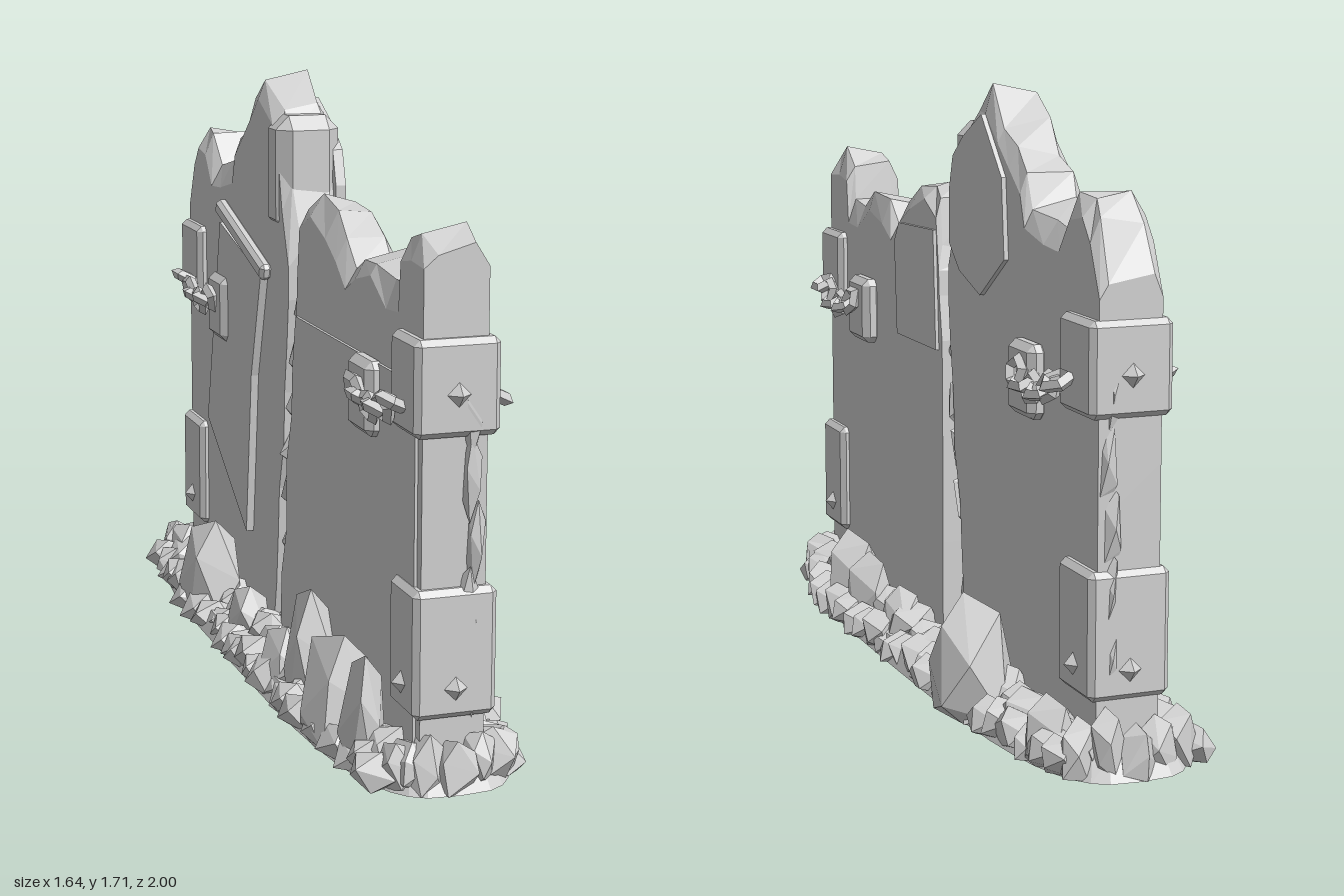
import * as THREE from 'three';
import { ConvexGeometry } from 'three/addons/geometries/ConvexGeometry.js';

const stone = new THREE.MeshStandardMaterial({ color: 0xd2d2d2, flatShading: true });
stone.name = 'grey stone';

let seed = 11;
const rnd = (a = 0, b = 1) => {
  seed = (seed * 16807) % 2147483647;
  return a + (b - a) * (seed / 2147483647);
};

// Local frame: x runs along the wall, z points out of its front face
const wall = new THREE.Group();
function add(name, geo, x = 0, y = 0, z = 0) {
  const m = new THREE.Mesh(geo, stone);
  m.name = name;
  m.position.set(x, y, z);
  wall.add(m);
  return m;
}

// Faceted rock: hull of jittered points, cut flat at the ground
function rock(name, x, y, z, rx, ry, rz, count = 12) {
  const pts = [];
  for (let i = 0; i < count; i++) {
    const h = 1 - (2 * (i + 0.5)) / count, a = i * 2.4 + rnd(-0.4, 0.4);
    const r = Math.sqrt(1 - h * h) * rnd(0.85, 1.1);
    pts.push(new THREE.Vector3(x + Math.cos(a) * r * rx, Math.max(0, y + h * ry), z + Math.sin(a) * r * rz));
  }
  return add(name, new ConvexGeometry(pts));
}

// The leaning crack that splits the wall in two
const levels = [0, 0.2, 0.35, 0.5, 0.65, 0.8, 0.95, 1.08];
const crackAt = (y) => -0.115 + 0.14 * y;

// Wall half: loft of chamfered sections under a ragged skyline
function wallHalf(name, skyline, side) {
  const jag = [...levels, 0, 0].map(() => rnd(-0.015, 0.015));
  const limit = (u, y, k) => {
    const edge = crackAt(y) + side * 0.034 + jag[k];
    return side < 0 ? Math.min(u, edge) : Math.max(u, edge);
  };
  const T = 0.087;
  const rings = skyline.map(([u, h]) => {
    const c = rnd(0.04, 0.08), t = rnd(0.045, 0.07), tilt = rnd(-0.015, 0.015);
    const half = [...levels.map((y) => [T, y]), [T, Math.max(1.1, h - c)]];
    const p = half.map(([n, y], k) => [limit(u, y, k), y, -n]);
    p.push([limit(u, h, 9), h + tilt, -t], [limit(u, h, 9), h - tilt, t]);
    for (let k = half.length - 1; k >= 0; k--) p.push([limit(u, half[k][1], k), half[k][1], half[k][0]]);
    return p;
  });
  const n = rings[0].length, idx = [];
  for (let i = 0; i < rings.length - 1; i++)
    for (let j = 0; j < n; j++) {
      const a = i * n + j, b = i * n + ((j + 1) % n);
      idx.push(a, b, b + n, a, b + n, a + n);
    }
  const last = (rings.length - 1) * n;
  // End caps as strips between the two faces
  for (let j = 0; j < n / 2 - 1; j++) {
    const a = j, b = j + 1, c = n - 2 - j, d = n - 1 - j;
    idx.push(last + a, last + b, last + c, last + a, last + c, last + d);
    idx.push(a, c, b, a, d, c);
  }
  const g = new THREE.BufferGeometry();
  g.setAttribute('position', new THREE.Float32BufferAttribute(rings.flat(2), 3));
  g.setIndex(idx);
  const flat = g.toNonIndexed();
  flat.computeVertexNormals();
  add(name, flat);
}

// Slab cut to an outline and laid against the wall
function facing(name, outline, z, depth) {
  const s = new THREE.Shape(outline.map((p) => new THREE.Vector2(...p)));
  add(name, new THREE.ExtrudeGeometry(s, { depth, bevelEnabled: false }), 0, 0, z);
}

// Bevelled block
function block(name, x, y, z, w, h, d, b = 0.012) {
  const pts = [];
  for (const i of [-1, 1]) for (const j of [-1, 1]) for (const k of [-1, 1]) {
    const X = w / 2, Y = h / 2, Z = d / 2;
    pts.push(new THREE.Vector3(i * (X - b), j * (Y - b), k * Z),
      new THREE.Vector3(i * X, j * (Y - b), k * (Z - b)),
      new THREE.Vector3(i * (X - b), j * Y, k * (Z - b)));
  }
  return add(name, new ConvexGeometry(pts), x, y, z);
}

function stud(x, y, z, axis) {
  const m = add('stud', new THREE.ConeGeometry(0.04, 0.035, 4), x, y, z);
  m.quaternion.setFromUnitVectors(new THREE.Vector3(0, 1, 0), axis);
}

export function createModel() {
  seed = 11;
  wall.clear();

  wallHalf('leftWall', [[-1.06, 1.27], [-1, 1.41], [-0.95, 1.47], [-0.87, 1.47], [-0.8, 1.37],
    [-0.7, 1.39], [-0.57, 1.41], [-0.54, 1.49], [-0.46, 1.54], [-0.38, 1.61], [-0.29, 1.7],
    [-0.15, 1.62], [-0.09, 1.53], [-0.06, 1.4], [0, 1.24]], -1);
  wallHalf('rightWall', [[0.05, 1.21], [0.1, 1.36], [0.2, 1.4], [0.33, 1.38], [0.42, 1.32], [0.5, 1.24],
    [0.58, 1.3], [0.7, 1.31], [0.82, 1.27], [0.91, 1.28], [0.925, 1.39], [1, 1.43], [1.09, 1.39]], 1);

  // Rough stones showing inside the crack
  for (let y = 0.08; y < 1.2; y += 0.14)
    rock('crackStone', crackAt(y) + rnd(-0.02, 0.02), y, 0, rnd(0.045, 0.06), 0.11, rnd(0.085, 0.105), 11);

  // Slabs: a broken raised plate, a front ledge and lumps behind
  facing('brokenPlate', [[-0.63, 1.22], [-0.2, 1.12], [-0.3, 0.8], [-0.36, 0.3], [-0.785, 0.57]], 0.08, 0.03);
  facing('frontLedge',
    [[-0.06, 0], [1.06, 0], [1.06, 1.05], [0.09, 1.05], [0.06, 0.9], [0.05, 0.75], [0, 0.6], [0, 0.4], [-0.05, 0.25]],
    0.07, 0.025);
  facing('backLump', [[0.08, 0.92], [0.42, 0.92], [0.44, 1.2], [0.4, 1.26], [0.1, 1.27]], -0.097, 0.02);
  facing('spireBack', [[-0.04, 1.25], [-0.04, 1.4], [-0.07, 1.5], [-0.15, 1.56], [-0.29, 1.63],
    [-0.44, 1.47], [-0.46, 1.25], [-0.28, 1.13], [-0.12, 1.18]], -0.1, 0.03);
  block('spireShoulder', -0.13, 1.43, 0, 0.15, 0.34, 0.19, 0.04);
  const splinter = block('splinter', -0.41, 1.2, 0.1, 0.5, 0.05, 0.04);
  splinter.rotation.z = -0.28;

  // Corner bands, chains and wall plates: end side, band centre, band width, plate centre
  for (const [s, band, width, plate] of [[-1, 0.97, 0.21, 0.63], [1, 1.02, 0.19, 0.715]]) {
    const end = band + width / 2, dir = new THREE.Vector3(s, 0, 0);
    block('upperBand', s * band, 1.045, 0, width, 0.25, 0.23, 0.016);
    block('lowerBand', s * band, 0.36, 0, width, 0.34, 0.226, 0.016);
    stud(s * (end + 0.01), 1.03, 0, dir);
    stud(s * (end + 0.01), 0.27, 0, dir);
    for (let y = 0.3; y < 1.05; y += 0.17)
      rock('endChip', s * (end - 0.02), y, -0.05 + rnd(-0.015, 0.015), 0.028, 0.13, 0.028, 9);
    for (const f of [-1, 1]) {
      stud(s * band, 0.27, f * 0.122, new THREE.Vector3(0, 0, f));
      block('wallPlate', s * plate, 0.955, f * 0.1, 0.165, 0.2, 0.06, 0.02);
      for (let i = 0; i < 6; i++) {
        const t = i / 5;
        const link = add('chainLink', new THREE.TorusGeometry(0.034, 0.017, 4, 5),
          s * (plate + 0.02 + 0.27 * t), 0.98 - 0.035 * Math.sin(t * Math.PI) + 0.02 * t, f * 0.14);
        link.scale.x = 1.3;
        link.rotation.set(i % 2 ? 1.1 : 0.25, 0, s * (t - 0.5) * 0.5);
      }
    }
  }

  // Ground bed with a flat underside
  const bed = [];
  for (let i = 0; i < 40; i++) {
    const a = (i / 40) * Math.PI * 2;
    const x = Math.sign(Math.cos(a)) * Math.abs(Math.cos(a)) ** 0.6 * 1.16;
    const z = Math.sign(Math.sin(a)) * Math.abs(Math.sin(a)) ** 0.6 * 0.26;
    bed.push(new THREE.Vector3(x, 0, z), new THREE.Vector3(x * 0.97, 0.06, z * 0.88));
  }
  add('groundBed', new ConvexGeometry(bed));

  // Rubble heaped along both faces, drawn in and rounded at the ends
  for (const f of [-1, 1])
    for (let u = -1.04; u <= 1.05; u += 0.08) {
      const inner = rnd(0.06, 0.1), outer = rnd(0.055, 0.08);
      const taper = 1 - 0.2 * Math.max(0, Math.abs(u) - 0.75) / 0.27;
      rock('rubble', u + rnd(-0.02, 0.02), rnd(0.04, 0.08), f * taper * rnd(0.12, 0.15), inner, inner, inner);
      rock('rubble', u + rnd(-0.02, 0.02), rnd(0.01, 0.05), f * taper * rnd(0.19, 0.23), outer, outer, outer);
    }
  for (const s of [-1, 1])
    for (let n = -0.14; n <= 0.15; n += 0.07)
      rock('rubble', s * (1.12 - Math.abs(n) * 0.4), rnd(0.03, 0.08), n, 0.06, rnd(0.08, 0.13), 0.06);

  // Larger boulders: x, z, height, radius
  for (const [x, z, h, r] of [[-0.5, -0.2, 0.35, 0.15], [0.63, -0.17, 0.27, 0.11], [0.48, -0.17, 0.23, 0.09],
    [0.2, -0.16, 0.19, 0.09], [-0.92, -0.15, 0.18, 0.09], [-0.52, 0.18, 0.32, 0.12], [0.39, 0.15, 0.36, 0.1],
    [0.68, 0.18, 0.32, 0.13], [0.88, 0.16, 0.32, 0.08], [0.24, 0.18, 0.2, 0.1], [-0.2, 0.15, 0.19, 0.09]])
    rock('boulder', x, h * 0.22, z, r, h * 0.8, r * 0.85, 14);

  wall.name = 'ruinedWall';
  wall.rotation.y = -0.94;
  const model = new THREE.Group();
  model.name = 'ruin';
  model.add(wall);
  return model;
}
